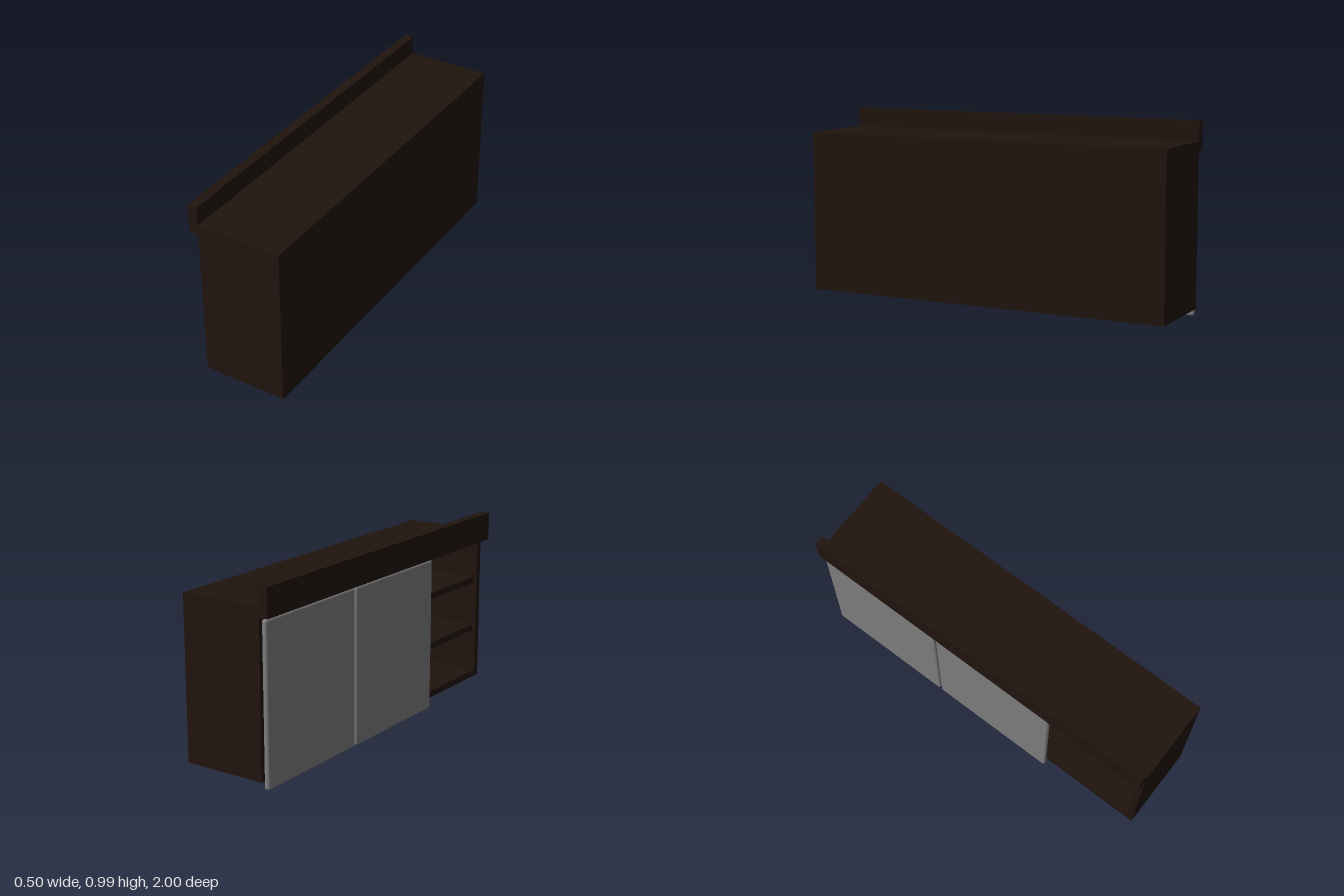
import * as THREE from 'three';
import { RoundedBoxGeometry } from 'three/addons/geometries/RoundedBoxGeometry.js';

export function createModel() {
  const model = new THREE.Group();
  model.name = 'counterCabinet';
  const wood = new THREE.MeshStandardMaterial({ color: 0x20130e });
  const grey = new THREE.MeshStandardMaterial({ color: 0x7c7c7c });

  // Box given by its lower and upper limits on each axis
  function board(name, [x0, x1], [y0, y1], [z0, z1]) {
    const mesh = new THREE.Mesh(new THREE.BoxGeometry(x1 - x0, y1 - y0, z1 - z0), wood);
    mesh.position.set((x0 + x1) / 2, (y0 + y1) / 2, (z0 + z1) / 2);
    mesh.name = name;
    model.add(mesh);
  }

  const t = 0.035; // board thickness
  const front = -0.2, back = 0.25, bottom = 0.04, top = 0.89;
  const depth = [front, back], inner = [bottom + t, top - t];

  // Carcass, open towards -x
  board('topPanel', depth, [top - t, top], [-1, 1]);
  board('bottomPanel', depth, [bottom, bottom + t], [-1, 1]);
  board('rearPanel', [back - t, back], inner, [-1, 1]);
  board('leftEndPanel', [front, back - t], inner, [1 - t, 1]);
  board('rightEndPanel', [front, back - t], inner, [-1, -1 + t]);

  // Dividers and two shelves in each of the three bays
  const dividers = [-1 / 3, 1 / 3];
  for (const z of dividers) {
    board('divider', [front + 0.02, back - t], inner, [z - t / 2, z + t / 2]);
  }
  const bays = [
    [-1 + t, dividers[0] - t / 2],
    [dividers[0] + t / 2, dividers[1] - t / 2],
    [dividers[1] + t / 2, 1 - t],
  ];
  for (const bay of bays) {
    for (const y of [0.325, 0.605]) {
      board('shelf', [front + 0.02, back - t], [y - t / 2, y + t / 2], bay);
    }
  }

  // Raised rail along the open side
  board('rail', [-0.25, front], [0.84, 0.99], [-1, 1]);

  // Two sliding doors with rounded edges
  for (const z of [-0.633, 0.085]) {
    const door = new THREE.Mesh(new RoundedBoxGeometry(0.028, 0.83, 0.71, 2, 0.012), grey);
    door.position.set(-0.216, 0.415, z);
    door.name = 'slidingDoor';
    model.add(door);
  }

  return model;
}
